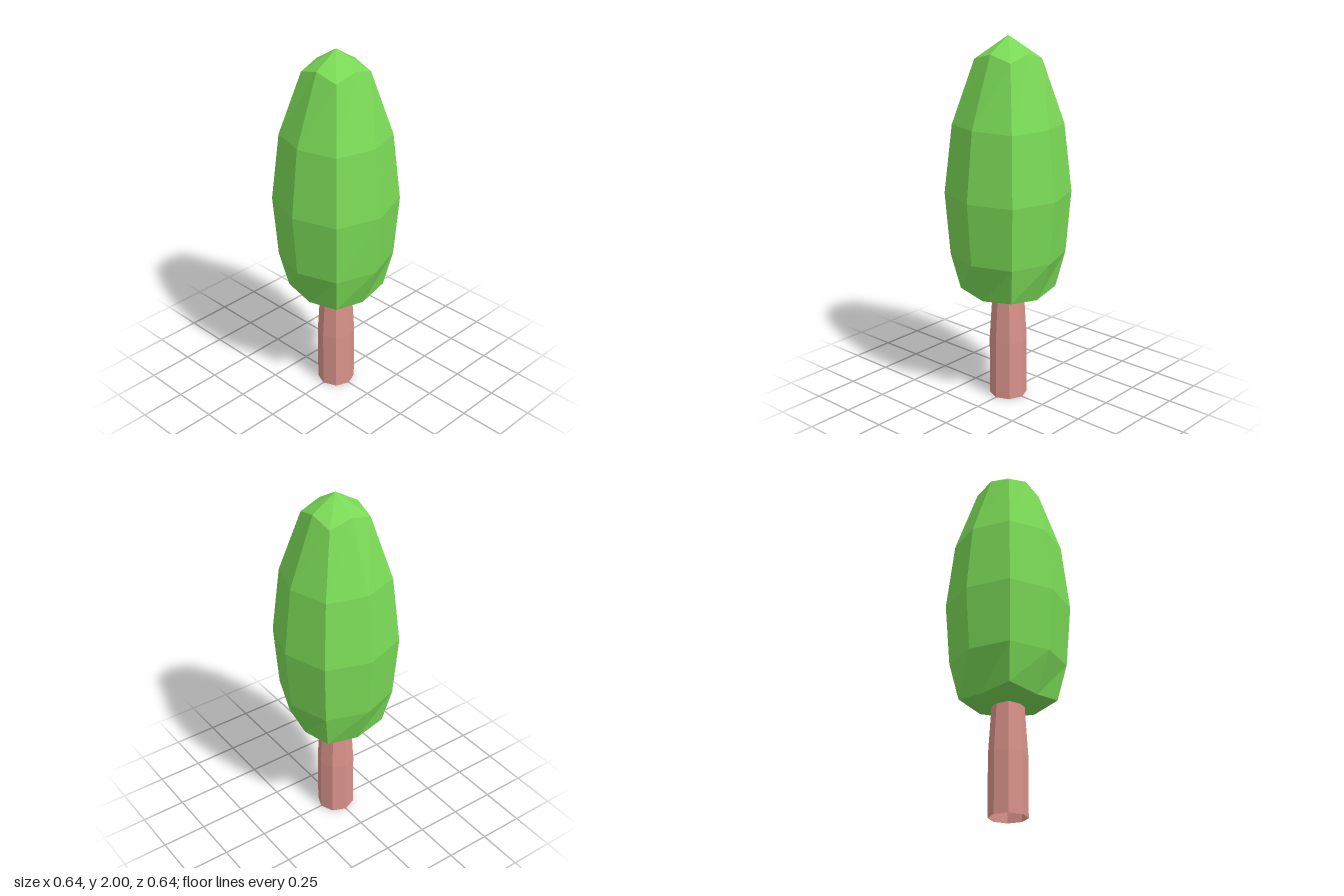
import * as THREE from 'three';

const leafGreen = new THREE.MeshStandardMaterial({ color: 0x7ad956, flatShading: true });
leafGreen.name = 'leaf green';
const barkPink = new THREE.MeshStandardMaterial({ color: 0xd9938a, flatShading: true, side: THREE.DoubleSide });
barkPink.name = 'bark pink';

// Eight-sided ring: points on the axes and points on the diagonals have their own offset and height.
function ring({ axis, axisY, corner, cornerY }) {
  const points = [];
  for (let i = 0; i < 8; i++) {
    const a = (i * Math.PI) / 4;
    const diagonal = i % 2 === 1;
    const r = diagonal ? corner * Math.SQRT2 : axis;
    points.push([Math.sin(a) * r, diagonal ? cornerY : axisY, Math.cos(a) * r]);
  }
  return points;
}

// Skin between rings listed from bottom to top, with optional closing points.
function loft(rings, bottom, top) {
  const positions = [];
  const tri = (a, b, c) => positions.push(...a, ...b, ...c);
  for (let k = 0; k < rings.length - 1; k++) {
    const lo = rings[k], hi = rings[k + 1];
    for (let i = 0; i < 8; i++) {
      const j = (i + 1) % 8;
      tri(lo[i], lo[j], hi[j]);
      tri(lo[i], hi[j], hi[i]);
    }
  }
  for (let i = 0; i < 8; i++) {
    const j = (i + 1) % 8;
    if (bottom) tri(bottom, rings[0][j], rings[0][i]);
    if (top) tri(top, rings[rings.length - 1][i], rings[rings.length - 1][j]);
  }
  const geometry = new THREE.BufferGeometry();
  geometry.setAttribute('position', new THREE.Float32BufferAttribute(positions, 3));
  geometry.computeVertexNormals();
  return geometry;
}

export function createModel() {
  const tree = new THREE.Group();
  tree.name = 'tree';

  // Faceted crown, four kite faces at each end
  const crownRings = [
    { axis: 0.205, axisY: 0.605, corner: 0.183, cornerY: 0.63 },
    { axis: 0.291, axisY: 0.828, corner: 0.22, cornerY: 0.83 },
    { axis: 0.319, axisY: 1.17, corner: 0.239, cornerY: 1.17 },
    { axis: 0.277, axisY: 1.545, corner: 0.208, cornerY: 1.54 },
    { axis: 0.137, axisY: 1.915, corner: 0.123, cornerY: 1.88 },
  ].map(ring);
  const crown = new THREE.Mesh(loft(crownRings, [0, 0.572, 0], [0, 2, 0]), leafGreen);
  crown.name = 'crown';
  tree.add(crown);

  // Open trunk, straight below and tapering into the crown
  const trunkRings = [[0, 0.103], [0.33, 0.103], [0.6, 0.086]].map(([y, r]) =>
    ring({ axis: r, axisY: y, corner: r * Math.SQRT1_2, cornerY: y }));
  const trunk = new THREE.Mesh(loft(trunkRings), barkPink);
  trunk.name = 'trunk';
  tree.add(trunk);

  return tree;
}
